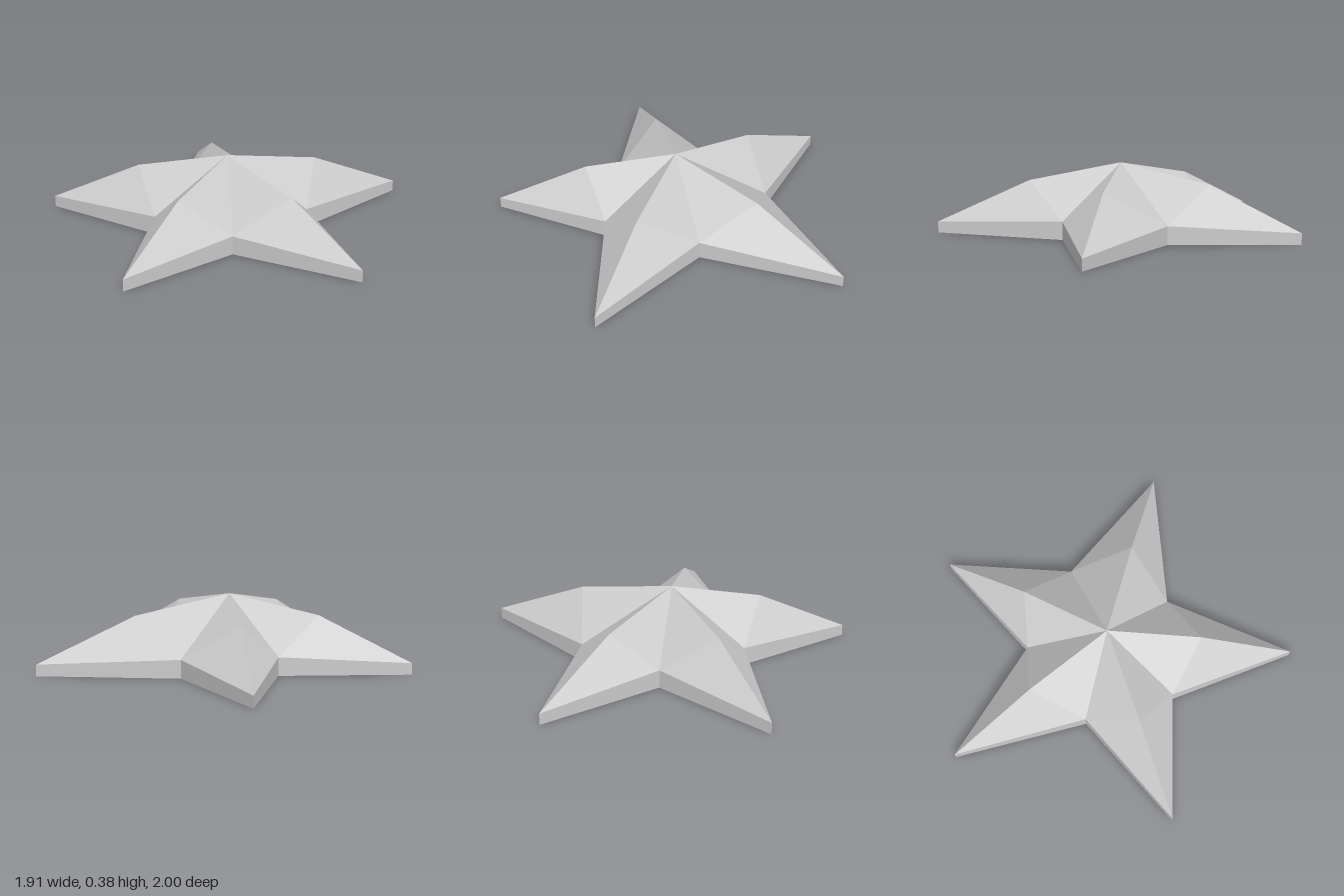
import * as THREE from 'three';

// Star outline as [x, z], counter-clockwise from above: tip, valley, tip, valley...
const OUTLINE = [
  [0.955, 0.02], [0.265, -0.305],
  [0.155, -1.0], [-0.235, -0.425],
  [-0.905, -0.65], [-0.555, -0.01],
  [-0.957, 0.565], [-0.305, 0.418],
  [0.105, 1.0], [0.217, 0.268],
];
const APEX = [-0.13, 0.385, 0.005];
const TIP_Y = 0.062, VALLEY_Y = 0.1, RIDGE_Y = 0.29;

function meshFromTriangles(name, triangles, material) {
  const geometry = new THREE.BufferGeometry();
  geometry.setAttribute('position', new THREE.Float32BufferAttribute(triangles.flat(2), 3));
  geometry.computeVertexNormals(); // unshared corners give flat facets
  const mesh = new THREE.Mesh(geometry, material);
  mesh.name = name;
  return mesh;
}

export function createModel() {
  const grey = new THREE.MeshStandardMaterial({ color: 0xcccccc });
  grey.name = 'light grey';

  const count = OUTLINE.length;
  const rim = OUTLINE.map(([x, z], i) => [x, i % 2 ? VALLEY_Y : TIP_Y, z]);
  const base = OUTLINE.map(([x, z]) => [x, 0, z]);
  const centre = [APEX[0], 0, APEX[2]];
  const star = new THREE.Group();
  star.name = 'star';

  // Five arms, each with a bent ridge running from the apex to the tip
  for (let i = 0; i < count; i += 2) {
    const tip = rim[i], next = rim[i + 1], prev = rim[(i + count - 1) % count];
    const ridge = [(APEX[0] + tip[0]) / 2, RIDGE_Y, (APEX[2] + tip[2]) / 2];
    star.add(meshFromTriangles('arm', [
      [APEX, prev, ridge], [ridge, prev, tip],
      [APEX, ridge, next], [ridge, tip, next],
    ], grey));
  }

  // Upright edge and flat underside
  const walls = [], underside = [];
  for (let i = 0; i < count; i++) {
    const j = (i + 1) % count;
    walls.push([rim[i], base[i], base[j]], [rim[i], base[j], rim[j]]);
    underside.push([centre, base[j], base[i]]);
  }
  star.add(meshFromTriangles('edge', walls, grey));
  star.add(meshFromTriangles('underside', underside, grey));
  return star;
}
